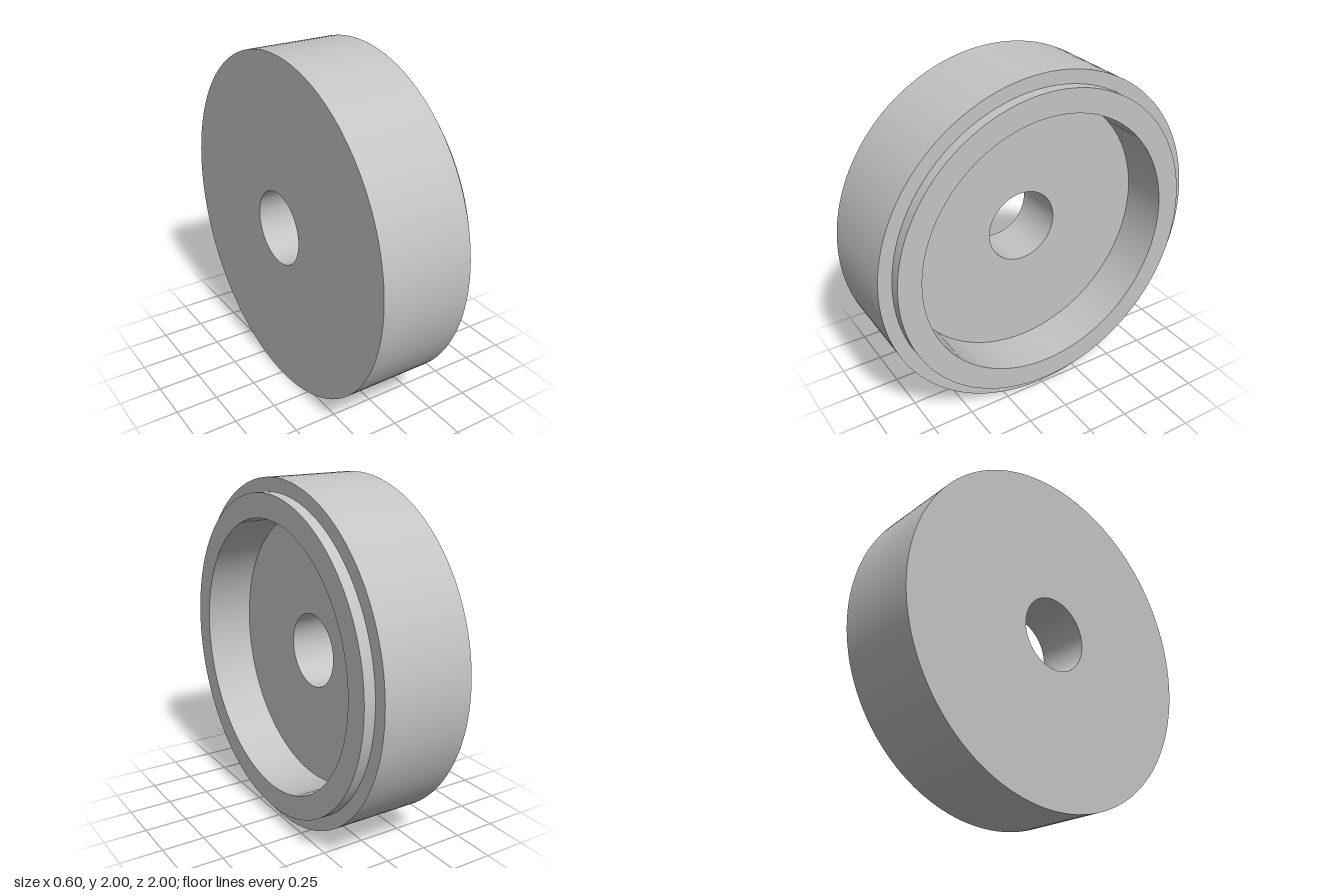
import * as THREE from 'three';
import { toCreasedNormals } from 'three/addons/utils/BufferGeometryUtils.js';

export function createModel() {
  const group = new THREE.Group();
  group.name = 'recessedWheel';

  const grey = new THREE.MeshStandardMaterial({ color: 0xc4c4c4 });
  grey.name = 'plain grey';

  const bore = 0.217, rim = 1, lip = 0.922, recess = 0.785;
  const back = -0.3, shoulder = 0.235, front = 0.3, floor = 0.015;

  // Closed section (radius, position along the axle)
  const section = [
    [bore, back], [rim, back],
    [rim, shoulder], [lip, shoulder], // stepped outer edge
    [lip, front], [recess, front],    // raised lip
    [recess, floor], [bore, floor],   // recessed face
    [bore, back],                     // through hole
  ].map(([r, a]) => new THREE.Vector2(r, a));

  // Turn the section, then lay the axle along x
  const geometry = toCreasedNormals(new THREE.LatheGeometry(section, 128), Math.PI / 6);
  geometry.rotateZ(-Math.PI / 2);

  const wheel = new THREE.Mesh(geometry, grey);
  wheel.name = 'wheelBody';
  wheel.position.y = rim;
  group.add(wheel);
  return group;
}
